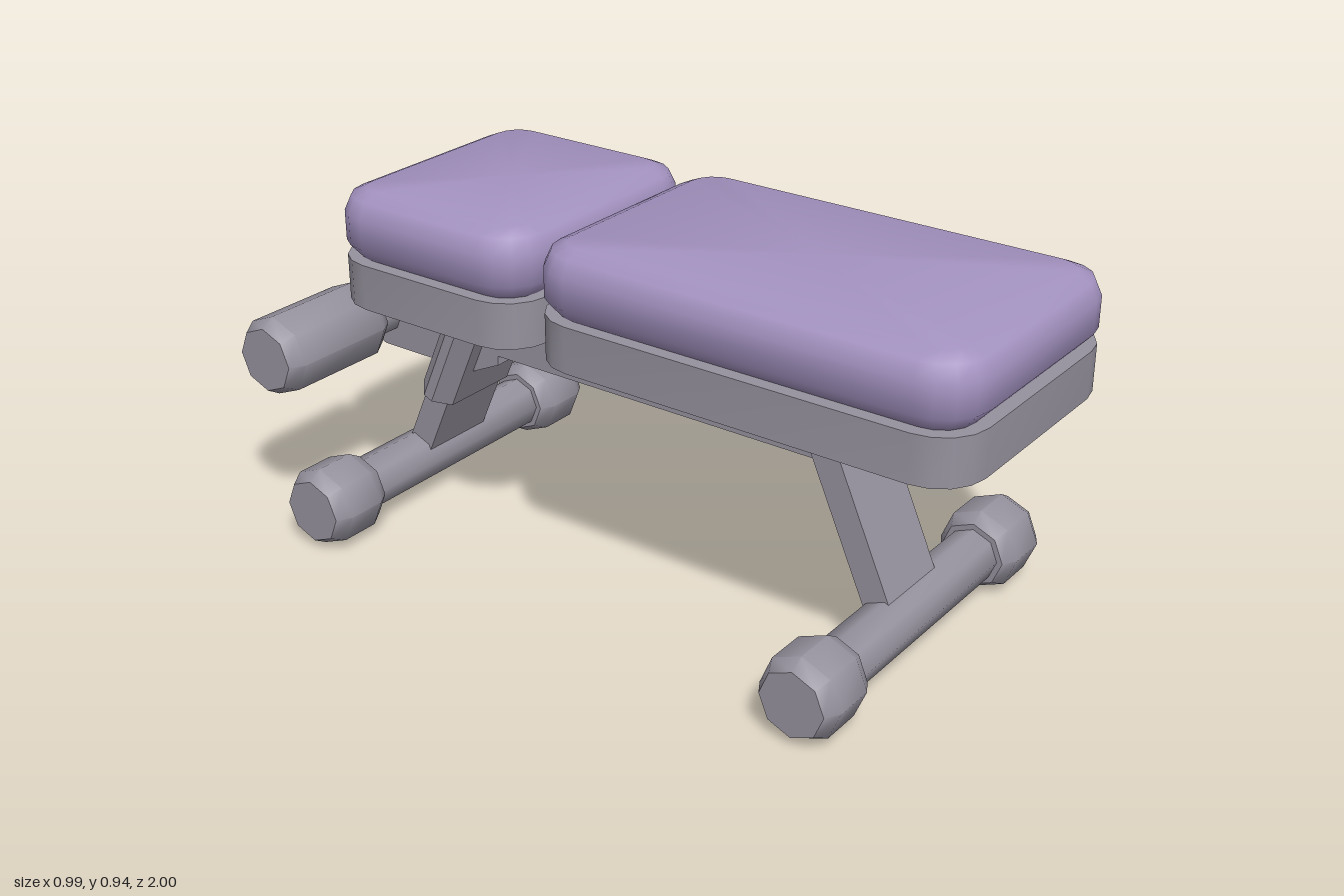
import * as THREE from 'three';
import { toCreasedNormals } from 'three/addons/utils/BufferGeometryUtils.js';

const CREASE = 0.88;

export function createModel() {
  const model = new THREE.Group();
  const purple = new THREE.MeshStandardMaterial({ name: 'purple upholstery', color: 0xa392c0 });
  const grey = new THREE.MeshStandardMaterial({ name: 'grey frame', color: 0x96929e });

  const add = (name, geometry, material, parent = model) => {
    const mesh = new THREE.Mesh(geometry, material);
    mesh.name = name;
    parent.add(mesh);
    return mesh;
  };

  // Rounded rectangle in plan, lofted through [y, inset] rings and capped
  function roundedSlab(halfX, halfZ, radius, rings) {
    const seg = 4, pos = [], index = [];
    for (const [y, inset] of rings) {
      const r = Math.max(radius - inset, 0.06);
      for (let corner = 0; corner < 4; corner++) {
        const sx = corner === 0 || corner === 3 ? 1 : -1;
        const sz = corner < 2 ? -1 : 1;
        for (let i = 0; i <= seg; i++) {
          const a = (corner + i / seg) * Math.PI / 2;
          pos.push(sx * (halfX - inset - r) + r * Math.cos(a), y, sz * (halfZ - inset - r) - r * Math.sin(a));
        }
      }
    }
    const n = 4 * (seg + 1), last = (rings.length - 1) * n;
    const bottom = pos.length / 3, top = bottom + 1;
    pos.push(0, rings[0][0], 0, 0, rings[rings.length - 1][0], 0);
    for (let i = 0; i < n; i++) {
      const j = (i + 1) % n;
      for (let k = 0; k < last; k += n) {
        index.push(k + i, k + j, k + n + j, k + i, k + n + j, k + n + i);
      }
      index.push(bottom, j, i, top, last + i, last + j);
    }
    const g = new THREE.BufferGeometry();
    g.setAttribute('position', new THREE.Float32BufferAttribute(pos, 3));
    g.setIndex(index);
    return toCreasedNormals(g, CREASE);
  }

  // Eight-sided lathe lying along x, from [radius, x] points
  function turned(points) {
    const g = new THREE.LatheGeometry(points.map(([r, x]) => new THREE.Vector2(r, x)), 8);
    return toCreasedNormals(g.rotateZ(-Math.PI / 2), CREASE);
  }

  // Padded roller with bevelled ends, centred on its own length
  const roller = (length) => turned([
    [0, -length / 2], [0.085, -length / 2], [0.107, -length / 2 + 0.037],
    [0.107, length / 2 - 0.037], [0.085, length / 2], [0, length / 2],
  ]);
  const rod = (radius, length) => turned([
    [0, -length / 2], [radius, -length / 2], [radius, length / 2], [0, length / 2],
  ]);

  // Flat polygon extruded symmetrically along z
  function prism(points, depth) {
    const shape = new THREE.Shape(points.map(([x, y]) => new THREE.Vector2(x, y)));
    return new THREE.ExtrudeGeometry(shape, { depth, bevelEnabled: false }).translate(0, 0, -depth / 2);
  }

  // Seat and back rest: a cushion on a board
  for (const [name, front, back] of [['seat', 1, -0.15], ['headRest', -0.175, -0.785]]) {
    const pad = new THREE.Group();
    pad.name = name;
    pad.position.z = (front + back) / 2;
    const halfZ = (front - back) / 2;
    add(name + 'Board', roundedSlab(0.357, halfZ, 0.12, [[0.65, 0], [0.768, 0]]), grey, pad);
    add(name + 'Cushion', roundedSlab(0.357, halfZ, 0.12,
      [[0.766, 0.037], [0.808, 0], [0.885, 0], [0.924, 0.018], [0.94, 0.055]]), purple, pad);
    model.add(pad);
  }

  // Sloping legs on cross bars with round feet
  const lean = 0.418, footY = 0.108;
  for (const [name, z, angle] of [['front', 0.703, -lean], ['rear', -0.767, lean]]) {
    const stand = new THREE.Group();
    stand.name = name + 'Stand';
    stand.position.set(0, footY, z);
    add(name + 'CrossBar', rod(0.07, 0.7), grey, stand);
    for (const side of [-1, 1]) {
      add(name + 'Foot', roller(0.18), grey, stand).position.x = side * 0.407;
    }
    const leg = new THREE.Group();
    leg.name = name + 'LegAssembly';
    leg.rotation.x = angle;
    add(name + 'Leg', new THREE.BoxGeometry(0.214, 0.62, 0.073).translate(0, 0.31, 0), grey, leg);
    if (name === 'rear') {
      // Clamp sleeve with bevelled corners around the rear leg
      const w = 0.15, t = 0.054, c = 0.04;
      const sleeve = prism([[w, -t + c], [w, t - c], [w - c, t], [c - w, t],
        [-w, t - c], [-w, -t + c], [c - w, -t], [w - c, -t]], 0.25);
      add('legSleeve', sleeve.rotateX(-Math.PI / 2).translate(0, 0.363, 0), grey, leg);
    }
    stand.add(leg);
    model.add(stand);
  }

  // Long beam joining the legs
  add('mainBeam', new THREE.BoxGeometry(0.14, 0.085, 1.04), grey).position.set(0, 0.508, -0.02);

  // Bracket carrying the leg rollers, outline in z and y
  const bracket = prism([[-0.49, 0.44], [-0.49, 0.57], [-0.52, 0.605], [-0.89, 0.605], [-0.965, 0.575],
    [-0.997, 0.502], [-0.965, 0.428], [-0.89, 0.398], [-0.58, 0.398]], 0.14);
  add('rollerBracket', bracket.rotateY(-Math.PI / 2), grey);

  // Leg rollers on their shaft
  const axleY = 0.502, axleZ = -0.893;
  add('rollerShaft', rod(0.068, 0.4), grey).position.set(0, axleY, axleZ);
  for (const side of [-1, 1]) {
    add('legRoller', roller(0.357), grey).position.set(side * 0.3185, axleY, axleZ);
  }

  return model;
}
